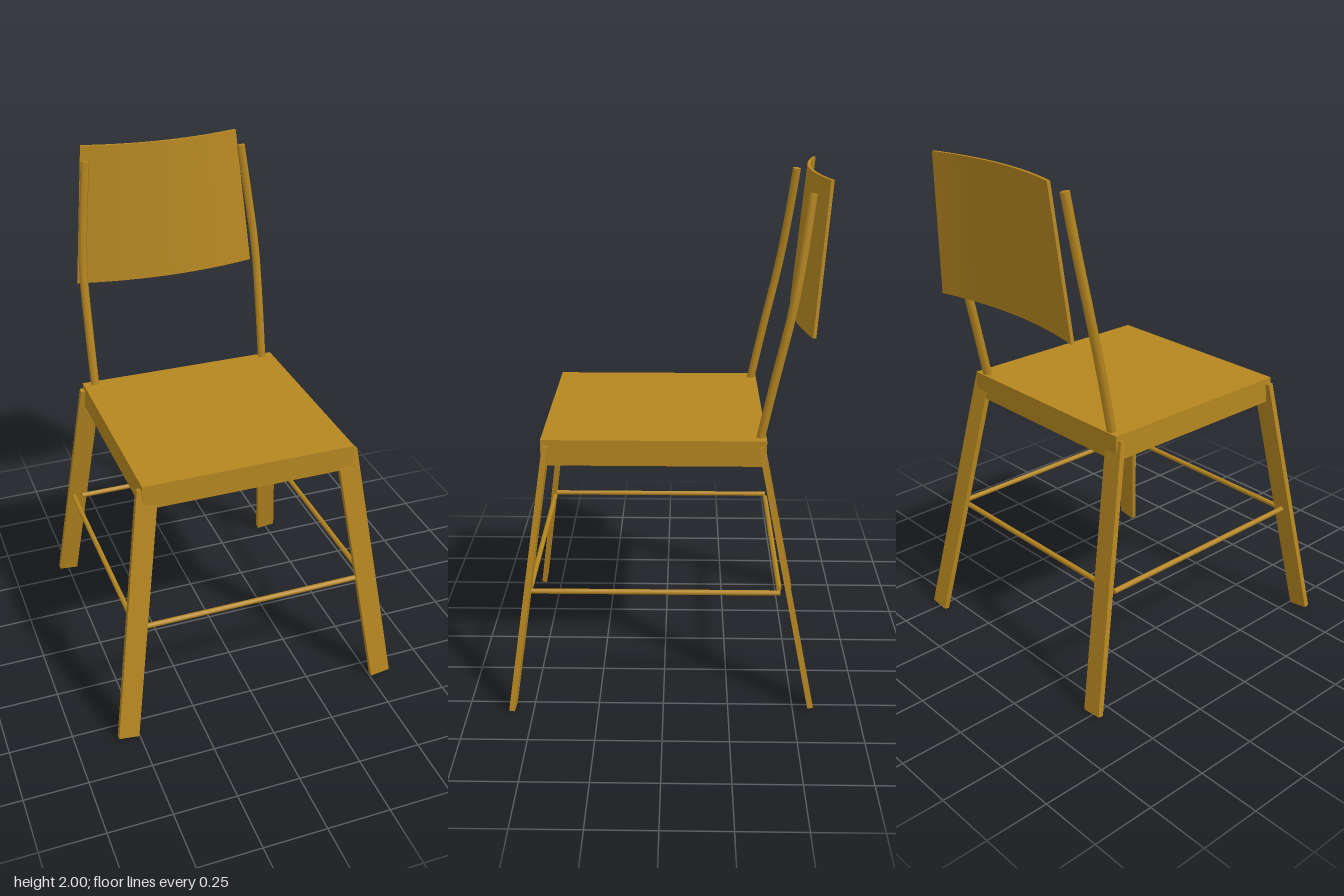
import * as THREE from 'three';

const wood = new THREE.MeshStandardMaterial({ color: 0xb58620 });
wood.name = 'golden wood';

function part(group, name, geometry) {
  const mesh = new THREE.Mesh(geometry, wood);
  mesh.name = name;
  group.add(mesh);
  return mesh;
}

function box(group, name, size, position) {
  part(group, name, new THREE.BoxGeometry(...size)).position.set(...position);
}

// Flat board from foot to top, its wide side staying level in z
function leg(group, name, foot, top) {
  const a = new THREE.Vector3(...foot), b = new THREE.Vector3(...top);
  const along = b.clone().sub(a);
  const length = along.length();
  along.normalize();
  const across = new THREE.Vector3(along.y, -along.x, 0).normalize();
  const through = new THREE.Vector3().crossVectors(across, along);
  const mesh = part(group, name, new THREE.BoxGeometry(0.082, length, 0.022));
  mesh.quaternion.setFromRotationMatrix(new THREE.Matrix4().makeBasis(across, along, through));
  mesh.position.copy(a).add(b).multiplyScalar(0.5);
}

// Thin horizontal rod along x or z
function rod(group, name, length, alongX, position) {
  const geometry = new THREE.CylinderGeometry(0.0105, 0.0105, length, 8);
  if (alongX) geometry.rotateZ(Math.PI / 2);
  else geometry.rotateX(Math.PI / 2);
  part(group, name, geometry).position.set(...position);
}

// Bent six-sided back post with a closed top
function post(group, name, side) {
  const points = [
    [0.372, 1.03, -0.352], [0.374, 1.3, -0.408], [0.371, 1.54, -0.46],
    [0.35, 1.75, -0.494], [0.325, 1.955, -0.52],
  ].map(([x, y, z]) => new THREE.Vector3(side * x, y, z));
  const curve = new THREE.CatmullRomCurve3(points);
  part(group, name, new THREE.TubeGeometry(curve, 10, 0.0175, 6, false));
  const frames = curve.computeFrenetFrames(10, false);
  const cap = part(group, name + 'Cap', new THREE.CircleGeometry(0.0175, 6));
  cap.quaternion.setFromRotationMatrix(new THREE.Matrix4().makeBasis(
    frames.normals[10], frames.binormals[10], frames.tangents[10]));
  cap.position.copy(points[4]);
}

// Curved, leaning panel that narrows towards the top
function backrestGeometry() {
  const geometry = new THREE.BoxGeometry(2, 1, 1, 24, 1, 1);
  const p = geometry.attributes.position;
  for (let i = 0; i < p.count; i++) {
    const u = p.getX(i), t = p.getY(i) + 0.5, w = p.getZ(i);
    const halfWidth = THREE.MathUtils.lerp(0.38, 0.325, t);
    const lean = THREE.MathUtils.lerp(-0.494, -0.54, t);
    p.setXYZ(i, u * (halfWidth + 0.003 * w), 1.445 + 0.555 * t, lean - 0.047 * u * u + 0.012 * w);
  }
  geometry.computeVertexNormals();
  return geometry;
}

export function createModel() {
  const chair = new THREE.Group();
  chair.name = 'chair';

  // Seat plate on an open frame
  const seat = new THREE.Group();
  seat.name = 'seat';
  chair.add(seat);
  box(seat, 'seatPlate', [0.84, 0.025, 0.835], [0, 1.0525, 0.0375]);
  box(seat, 'frontApron', [0.84, 0.075, 0.022], [0, 1.0025, 0.444]);
  box(seat, 'backApron', [0.84, 0.075, 0.022], [0, 1.0025, -0.369]);

  for (const side of [1, -1]) {
    const label = side > 0 ? 'left' : 'right';
    box(seat, label + 'Apron', [0.022, 0.075, 0.791], [side * 0.409, 1.0025, 0.0375]);
    leg(chair, label + 'FrontLeg', [side * 0.545, 0.009, 0.58], [side * 0.397, 1.04, 0.436]);
    leg(chair, label + 'BackLeg', [side * 0.5, 0.007, -0.568], [side * 0.395, 1.04, -0.36]);
    rod(chair, label + 'Stretcher', 0.95, false, [side * 0.476, 0.474, 0.033]);
    post(chair, label + 'BackPost', side);
  }

  // Cross stretchers
  rod(chair, 'frontStretcher', 0.88, true, [0, 0.474, 0.508]);
  rod(chair, 'backStretcher', 0.88, true, [0, 0.474, -0.44]);

  part(chair, 'backrest', backrestGeometry());
  return chair;
}
